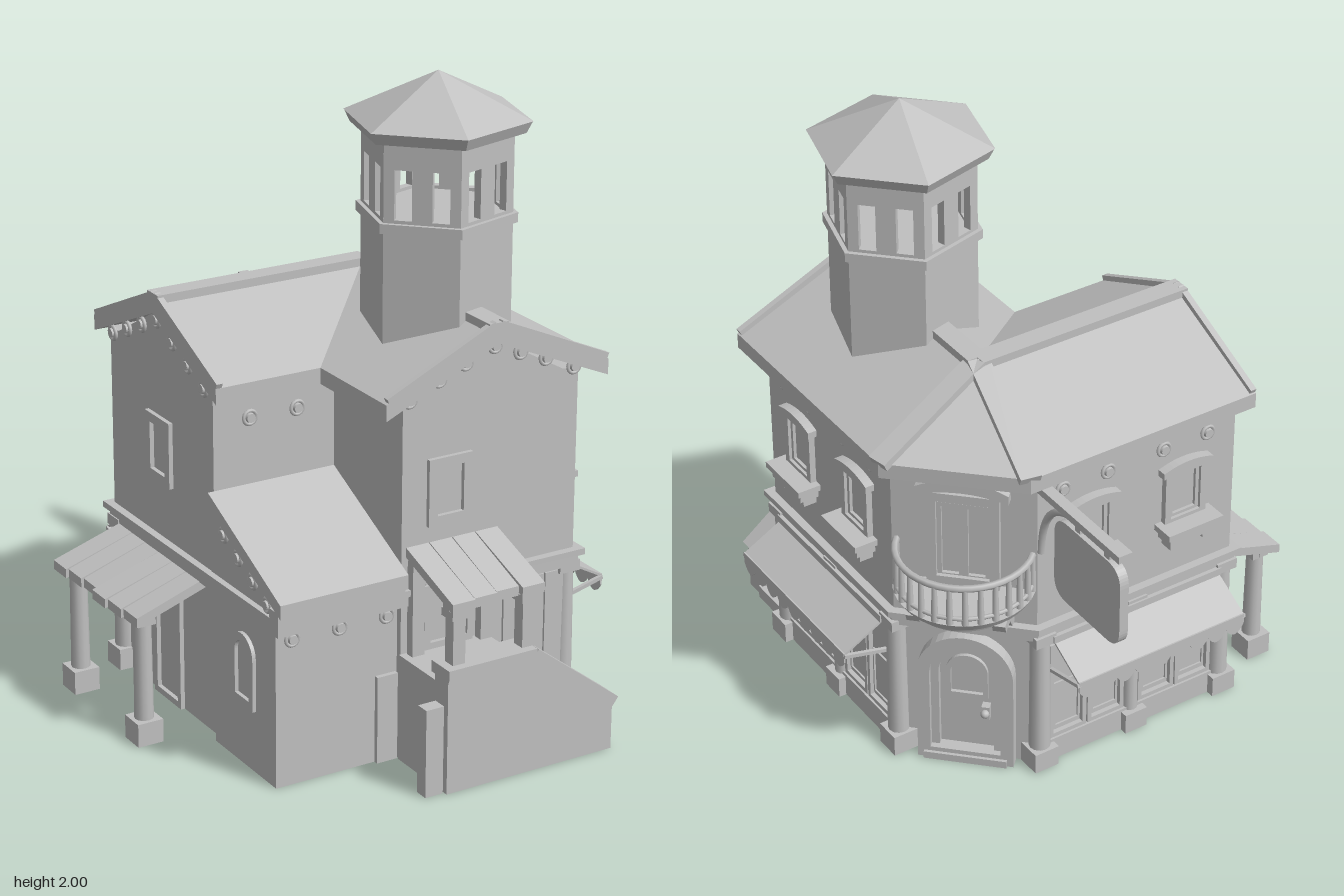
import * as THREE from 'three';

const stone = new THREE.MeshStandardMaterial({ color: 0xc0c0c0 });
stone.name = 'plain stone grey';

const V = (x, y, z) => new THREE.Vector3(x, y, z);
function add(parent, name, geo, x = 0, y = 0, z = 0) {
  const m = new THREE.Mesh(geo, stone);
  m.name = name;
  m.position.set(x, y, z);
  parent.add(m);
  return m;
}
// box centred on x and z, standing on y
const box = (p, name, w, h, d, x, y, z) => add(p, name, new THREE.BoxGeometry(w, h, d), x, y + h / 2, z);
const cyl = (p, name, r0, r1, h, x, y, z, n = 12) => add(p, name, new THREE.CylinderGeometry(r1, r0, h, n), x, y + h / 2, z);
const poly = (pts) => new THREE.Shape(pts.map(([a, b]) => new THREE.Vector2(a, b)));
const extrude = (shape, depth) => new THREE.ExtrudeGeometry(shape, { depth, bevelEnabled: false, curveSegments: 10 });
const flat = (g) => { const f = g.toNonIndexed(); f.computeVertexNormals(); return f; };
// plan outline of [x, z] raised from y0 to y1, hollow if an inner outline is given
function prism(p, name, pts, y0, y1, inner) {
  const plan = (list) => poly(list.map(([x, z]) => [x, -z]).reverse()), s = plan(pts);
  if (inner) s.holes.push(plan(inner));
  add(p, name, extrude(s, y1 - y0).rotateX(-Math.PI / 2), 0, y0, 0);
}
// side outline of [z, y] stretched from x0 to x1
const side = (p, name, pts, x0, x1) => add(p, name, extrude(poly(pts), x1 - x0).rotateY(-Math.PI / 2), x1, 0, 0);
// square bar between two points
function beam(p, name, a, b, w, h) {
  const m = new THREE.Mesh(new THREE.BoxGeometry(w, h, a.distanceTo(b)), stone);
  m.name = name;
  m.position.copy(a).lerp(b, 0.5);
  m.lookAt(b);
  p.add(m);
}
// convex sloped slab: upper corners, thickness downwards
function slab(p, name, corners, t) {
  let c = corners.map((q) => V(...q));
  const n = c[1].clone().sub(c[0]).cross(c[2].clone().sub(c[0]));
  if (n.y < 0) c = c.reverse();
  const low = c.map((q) => V(q.x, q.y - t, q.z)), tri = [];
  c.forEach((q, i) => {
    const j = (i + 1) % c.length;
    if (i > 0 && j > 0) tri.push(c[0], q, c[j], low[0], low[j], low[i]);
    tri.push(q, low[i], low[j], q, low[j], c[j]);
  });
  const g = new THREE.BufferGeometry().setFromPoints(tri);
  g.computeVertexNormals();
  add(p, name, g);
}
const rectShape = (w, h) => poly([[-w / 2, 0], [w / 2, 0], [w / 2, h], [-w / 2, h]]);
function archShape(w, h) {
  const s = new THREE.Shape(), r = w / 2;
  s.moveTo(-r, 0); s.lineTo(r, 0); s.lineTo(r, h - r);
  s.absarc(0, h - r, r, 0, Math.PI, false);
  s.lineTo(-r, 0);
  return s;
}
function frame(p, name, make, w, h, t, d, x, y, z) {
  const s = make(w, h), hole = make(w - 2 * t, h - 2 * t);
  s.holes.push(new THREE.Path(hole.getPoints(10).map((q) => q.add(new THREE.Vector2(0, t)))));
  add(p, name, extrude(s, d), x, y, z);
}
function place(parent, name, x, y, z, turn = 0) {
  const g = new THREE.Group();
  g.name = name;
  g.position.set(x, y, z);
  g.rotation.y = turn;
  parent.add(g);
  return g;
}
function rosette(p, x, y, z, turn = 0) {
  const g = place(p, 'rosette', x, y, z, turn);
  add(g, 'rosetteRing', new THREE.TorusGeometry(0.021, 0.006, 6, 14), 0, 0, 0.006);
  add(g, 'rosetteBoss', new THREE.CylinderGeometry(0.014, 0.018, 0.02, 12).rotateX(Math.PI / 2), 0, 0, 0.006);
}
function curvedLintel(p, w, y, z, h, rise) {
  const s = new THREE.Shape();
  s.moveTo(-w / 2, 0);
  s.quadraticCurveTo(0, rise, w / 2, 0);
  s.lineTo(w / 2, h);
  s.quadraticCurveTo(0, h + rise * 1.6, -w / 2, h);
  add(p, 'curvedLintel', extrude(s, 0.03), 0, y, z);
}
function sashWindow(parent, x) {
  const g = place(parent, 'upperWindow', x, 0, 0);
  frame(g, 'windowFrame', rectShape, 0.15, 0.2, 0.022, 0.02, 0, 0.74, 0);
  frame(g, 'sash', rectShape, 0.106, 0.16, 0.012, 0.01, 0, 0.76, 0);
  curvedLintel(g, 0.18, 0.925, 0, 0.022, 0.02);
  box(g, 'windowLedge', 0.2, 0.02, 0.078, 0, 0.73, 0.039);
  box(g, 'flowerBox', 0.17, 0.035, 0.064, 0, 0.698, 0.032);
  for (const s of [-1, 1]) box(g, 'ledgeBracket', 0.022, 0.045, 0.045, s * 0.06, 0.668, 0.023);
}
function column(p, x, z, r, h, b) {
  box(p, 'columnBase', b, 0.07, b, x, 0, z);
  cyl(p, 'columnShaft', r, r * 0.9, h - 0.09, x, 0.06, z);
  box(p, 'columnCapital', b * 0.85, 0.035, b * 0.85, x, h - 0.035, z);
}
// street side with shop windows, awning and upper windows; faces local +z
function facade(root, name, x, z, turn) {
  const g = place(root, name, x, 0, z, turn);
  [-0.167, 0.167].forEach((u) => sashWindow(g, u));
  [-0.27, -0.11, 0.09, 0.25].forEach((u) => rosette(g, u, 1.02, 0));
  [-0.335, 0, 0.335].forEach((u) => column(g, u, -0.015, u ? 0.034 : 0.026, 0.51, u ? 0.085 : 0.08));
  box(g, 'shopPlinth', 0.66, 0.08, 0.03, 0, 0, -0.015);
  for (const u of [-0.235, -0.095, 0.095, 0.235]) {
    frame(g, 'shopWindow', rectShape, 0.135, 0.36, 0.014, 0.015, u, 0.08, -0.022);
    frame(g, 'shopPanel', rectShape, 0.095, 0.17, 0.006, 0.006, u, 0.11, -0.022);
  }
  slab(g, 'awningCloth', [[-0.305, 0.485, 0.005], [0.305, 0.485, 0.005], [0.305, 0.405, 0.152], [-0.305, 0.405, 0.152]], 0.008);
  const s = new THREE.Shape(), n = 9, w = 0.61 / n;
  s.moveTo(0.305, 0.03);
  s.lineTo(-0.305, 0.03);
  for (let i = 0; i < n; i++) {
    const a = -0.305 + i * w;
    s.lineTo(a, -0.005);
    s.quadraticCurveTo(a + w / 2, -0.065, a + w, -0.005);
  }
  add(g, 'awningScallops', extrude(s, 0.006), 0, 0.377, 0.147);
  box(g, 'awningRoll', 0.62, 0.025, 0.03, 0, 0.475, 0.01);
  for (const k of [-0.305, 0.305]) beam(g, 'awningArm', V(k, 0.36, 0), V(k, 0.398, 0.152), 0.012, 0.012);
}
// angled corner with arched entrance and balcony
function corner(root) {
  const g = place(root, 'angledCorner', 0.395, 0, -0.285, Math.PI * 0.75);
  frame(g, 'entranceArch', archShape, 0.3, 0.48, 0.04, 0.05, 0, 0, -0.03);
  frame(g, 'doorFrame', archShape, 0.22, 0.43, 0.025, 0.03, 0, 0.01, -0.03);
  frame(g, 'doorWindow', archShape, 0.13, 0.16, 0.015, 0.012, 0, 0.23, -0.022);
  box(g, 'doorStep', 0.26, 0.025, 0.06, 0, 0, 0);
  box(g, 'doorHandle', 0.025, 0.05, 0.03, 0.06, 0.16, -0.01);
  add(g, 'doorKnob', new THREE.SphereGeometry(0.014, 10, 8), 0.06, 0.19, 0.012);
  // balcony
  const half = (r0, r1, h, y) => add(g, 'balconyFloor',
    new THREE.CylinderGeometry(r1, r0, h, 20, 1, false, -Math.PI / 2, Math.PI), 0, y + h / 2, 0);
  half(0.2, 0.215, 0.025, 0.655);
  half(0.175, 0.185, 0.025, 0.63);
  for (const [r, y, t] of [[0.205, 0.81, 0.011], [0.205, 0.7, 0.007]])
    add(g, 'balconyRail', new THREE.TorusGeometry(r, t, 6, 20, Math.PI).rotateX(Math.PI / 2), 0, y, 0);
  for (let i = 0; i <= 14; i++) {
    const a = Math.PI * i / 14;
    cyl(g, 'baluster', 0.011, 0.008, 0.13, Math.cos(a) * 0.205, 0.68, Math.sin(a) * 0.205, 8);
  }
  for (const u of [-0.13, -0.045, 0.045, 0.13]) {
    const b = place(g, 'balconyBracket', u, 0, 0);
    side(b, 'scroll', [[0, 0.555], [0.03, 0.56], [0.06, 0.6], [0.12, 0.605], [0.135, 0.635], [0, 0.635]], -0.02, 0.02);
  }
  frame(g, 'balconyDoorFrame', rectShape, 0.22, 0.33, 0.03, 0.025, 0, 0.68, 0);
  for (const u of [-0.04, 0.04]) frame(g, 'balconyDoorLeaf', rectShape, 0.08, 0.27, 0.014, 0.012, u, 0.7, 0);
  curvedLintel(g, 0.28, 1.0, 0, 0.03, 0.045);
}
function tower(root) {
  const g = place(root, 'tower', 0.24, 0, 0.28, Math.PI / 4);
  const hex = (name, r0, r1, y0, y1) => add(g, name, flat(new THREE.CylinderGeometry(r1, r0, y1 - y0, 6)), 0, (y0 + y1) / 2, 0);
  hex('towerShaft', 0.228, 0.228, 1.08, 1.58);
  hex('towerBand', 0.243, 0.243, 1.56, 1.59);
  for (let i = 0; i < 6; i++) {
    const f = place(g, 'lookoutSide', 0, 1.58, 0, Math.PI / 6 + i * Math.PI / 3), s = rectShape(0.228, 0.25);
    for (const u of [-0.056, 0.056])
      s.holes.push(poly([[u - 0.026, 0.02], [u + 0.026, 0.02], [u + 0.026, 0.17], [u - 0.026, 0.17]]));
    add(f, 'lookoutWall', extrude(s, 0.025), 0, 0, 0.1725);
  }
  hex('towerEaves', 0.262, 0.28, 1.83, 1.866);
  hex('towerRoof', 0.282, 0.001, 1.866, 2.0);
}
function roofs(root) {
  const R = 1.318, E = 1.15;
  const peak = [0.24, R, -0.125], south = [0.24, R, 0.62], west = [-0.49, R, -0.125], valley = [-0.14, E, 0.255];
  const ne = [0.63, E, -0.2], nw = [0.31, E, -0.51];
  slab(root, 'roofEast', [peak, south, [0.63, E, 0.62], ne], 0.05);
  slab(root, 'roofInnerWest', [peak, valley, [-0.14, E, 0.62], south], 0.05);
  slab(root, 'roofInnerSouth', [peak, west, [-0.49, E, 0.255], valley], 0.05);
  slab(root, 'roofNorth', [peak, nw, [-0.49, E, -0.51], west], 0.05);
  slab(root, 'roofCorner', [peak, ne, nw], 0.05);
  for (const [a, b] of [[peak, south], [peak, west], [peak, ne], [peak, nw]])
    beam(root, 'ridgeCap', V(...a), V(...b), 0.066, 0.026);
  for (const x of [-0.125, 0.62]) beam(root, 'gableEdge', V(0.24, R - 0.01, 0.61), V(x, E - 0.01, 0.61), 0.02, 0.06);
  for (const z of [-0.5, 0.25]) beam(root, 'gableEdge', V(-0.48, R - 0.01, -0.125), V(-0.48, E - 0.01, z), 0.02, 0.055);
  add(root, 'frontGable', extrude(poly([[-0.06, 1.1], [0.55, 1.1], [0.24, 1.275]]), 0.7), 0, 0, -0.12);
  side(root, 'westGable', [[-0.44, 1.1], [0.2, 1.1], [-0.125, 1.275]], -0.47, 0.2);
  for (const [x, y] of [[-0.04, 1.135], [0.06, 1.18], [0.15, 1.215], [0.25, 1.25], [0.34, 1.215], [0.43, 1.18], [0.53, 1.135]])
    rosette(root, x, y, 0.58);
  for (let i = -3; i <= 3; i++) rosette(root, -0.472, 1.245 - Math.abs(i) * 0.042, -0.125 + i * 0.095, -Math.PI / 2);
}
// boards of uneven length sloping towards local +z
function boardRoof(root, name, x, z, turn, width, n, back, front) {
  const g = place(root, name, x, 0, z, turn), w = width / n;
  for (let i = 0; i < n; i++) {
    const a = -width / 2 + i * w, b = a + w - 0.003, cut = ((i * 7) % 3) * 0.008;
    slab(g, 'roofBoard', [[a, back, 0], [b, back, 0], [b, front, 0.25 - cut], [a, front, 0.25 - cut]], 0.03);
  }
  box(g, 'roofBeam', width * 0.94, 0.03, 0.03, 0, front - 0.035, 0.2);
}

export function createModel() {
  const root = new THREE.Group();
  root.name = 'cornerHouse';
  const street = (o) => [[-0.47 - o, -0.44 - o], [0.24 + 0.414 * o, -0.44 - o], [0.55 + o, -0.13 - 0.414 * o], [0.55 + o, 0.58 + o]];
  const rect = (x0, x1, z0, z1) => [[x0, z0], [x1, z0], [x1, z1], [x0, z1]];

  // walls, hollow and open underneath on the ground floor
  prism(root, 'groundFloor', [...street(-0.022), [-0.06, 0.558], [-0.06, 0.2], [-0.448, 0.2]], 0, 0.5,
    [...street(-0.055), [-0.03, 0.525], [-0.03, 0.167], [-0.415, 0.167]]);
  prism(root, 'leanToWalls', rect(-0.472, -0.06, 0.2, 0.56), 0, 0.5, rect(-0.44, -0.09, 0.23, 0.53));
  side(root, 'leanToUpperWalls', [[0.18, 0.5], [0.56, 0.5], [0.56, 0.6], [0.2, 0.77]], -0.472, -0.06);
  box(root, 'frontWall', 0.6, 0.5, 0.05, 0.24, 0, 0.555);
  prism(root, 'upperFloor', [...street(0), [-0.06, 0.58], [-0.06, 0.2], [-0.47, 0.2]], 0.5, 1.13);
  prism(root, 'beltLower', [...street(0.012), [-0.482, 0.592]], 0.495, 0.53);
  prism(root, 'beltUpper', [...street(0.027), [-0.49, 0.6]], 0.53, 0.55);
  slab(root, 'leanToRoof', [[-0.49, 0.81, 0.2], [-0.06, 0.81, 0.2], [-0.06, 0.61, 0.62], [-0.49, 0.61, 0.62]], 0.045);
  box(root, 'leanToCornice', 0.43, 0.07, 0.05, -0.275, 0.51, 0.58);
  roofs(root);
  tower(root);

  // street sides
  facade(root, 'eastSide', 0.55, 0.22, Math.PI / 2);
  facade(root, 'northSide', -0.115, -0.44, Math.PI);
  corner(root);

  // front and west openings
  frame(root, 'frontWindow', rectShape, 0.15, 0.21, 0.03, 0.014, 0.1, 0.73, 0.58);
  frame(root, 'frontDoor', rectShape, 0.17, 0.25, 0.02, 0.014, 0.1, 0.34, 0.58);
  box(root, 'lowDoor', 0.07, 0.28, 0.02, -0.1, 0, 0.565);
  for (const x of [0.32, 0.37, 0.42, 0.47]) box(root, 'wallBoard', 0.045, 0.49, 0.012, x, 0, 0.582);
  const westSide = place(root, 'westSide', -0.47, 0, 0, -Math.PI / 2);
  frame(westSide, 'westWindow', rectShape, 0.15, 0.21, 0.03, 0.014, -0.125, 0.73, 0);
  frame(westSide, 'westDoor', rectShape, 0.17, 0.38, 0.02, 0.014, -0.125, 0, -0.022);
  frame(westSide, 'archedWindow', archShape, 0.13, 0.23, 0.025, 0.014, 0.38, 0.2, 0);
  for (let i = 0; i < 4; i++) rosette(westSide, 0.27 + i * 0.085, 0.7 - i * 0.042, 0.002);
  for (const x of [-0.42, -0.26, -0.1]) rosette(root, x, 0.47, 0.56);
  for (const x of [-0.35, -0.19]) rosette(root, x, 1.02, 0.2);

  // front stairs with landing and porch, open underneath
  const stairs = place(root, 'frontStairs', 0, 0, 0);
  box(stairs, 'landingFloor', 0.3, 0.02, 0.2, 0.085, 0.32, 0.68);
  box(stairs, 'landingEnd', 0.02, 0.33, 0.2, -0.055, 0, 0.68);
  for (let i = 0; i < 5; i++) {
    const x = 0.5 - i * 0.058, h = 0.045 + 0.06 * i;
    box(stairs, 'stepTread', 0.06, 0.015, 0.19, x, h - 0.015, 0.675);
    box(stairs, 'stepRiser', 0.012, i ? 0.06 : 0.045, 0.19, x + 0.024, i ? h - 0.06 : 0, 0.675);
  }
  box(stairs, 'landingRiser', 0.012, 0.06, 0.19, 0.232, 0.28, 0.675);
  add(stairs, 'stairWall', extrude(poly([[-0.065, 0], [0.52, 0], [0.52, 0.15], [0.225, 0.38], [-0.065, 0.38]]), 0.07), 0, 0, 0.775);
  beam(stairs, 'stairCoping', V(-0.07, 0.382, 0.81), V(0.235, 0.382, 0.81), 0.095, 0.036);
  beam(stairs, 'stairCoping', V(0.23, 0.382, 0.81), V(0.522, 0.158, 0.81), 0.095, 0.036);
  box(stairs, 'sidePost', 0.06, 0.28, 0.045, -0.1, 0, 0.81);
  for (const x of [-0.02, 0.22]) {
    box(stairs, 'porchPost', 0.042, 0.2, 0.042, x, 0.39, 0.81);
    box(stairs, 'porchPostCap', 0.06, 0.025, 0.06, x, 0.545, 0.81);
    box(stairs, 'wallPost', 0.042, 0.3, 0.03, x, 0.34, 0.6);
  }
  boardRoof(root, 'frontPorchRoof', 0.1, 0.605, 0, 0.32, 4, 0.69, 0.605);

  // west porch
  boardRoof(root, 'westPorchRoof', -0.46, -0.13, -Math.PI / 2, 0.52, 6, 0.505, 0.425);
  for (const z of [-0.34, 0.08]) {
    box(root, 'porchPostBase', 0.085, 0.075, 0.085, -0.652, 0, z);
    cyl(root, 'porchPost', 0.03, 0.027, 0.33, -0.652, 0.07, z);
    box(root, 'porchPostCap', 0.06, 0.025, 0.06, -0.652, 0.385, z);
  }

  // hanging sign
  const sign = place(root, 'hangingSign', 0.23, 0, 0);
  box(sign, 'signBar', 0.036, 0.024, 0.42, 0, 1.045, -0.65);
  const curve = new THREE.QuadraticBezierCurve3(V(0, 0.82, -0.445), V(0, 1.02, -0.45), V(0, 1.045, -0.6));
  add(sign, 'signBrace', new THREE.TubeGeometry(curve, 12, 0.012, 6));
  for (const z of [-0.645, -0.79]) box(sign, 'signHanger', 0.02, 0.04, 0.025, 0, 1.015, z);
  const b = new THREE.Shape(), c = 0.065;
  b.moveTo(-0.865 + c, 0.74);
  b.lineTo(-0.535 - c, 0.74); b.quadraticCurveTo(-0.535, 0.74, -0.535, 0.74 + c);
  b.lineTo(-0.535, 1.02 - c); b.quadraticCurveTo(-0.535, 1.02, -0.535 - c, 1.02);
  b.lineTo(-0.865 + c, 1.02); b.quadraticCurveTo(-0.865, 1.02, -0.865, 1.02 - c);
  b.lineTo(-0.865, 0.74 + c); b.quadraticCurveTo(-0.865, 0.74, -0.865 + c, 0.74);
  add(sign, 'signBoard', extrude(b, 0.03).rotateY(-Math.PI / 2), 0.015, 0, 0);
  return root;
}
